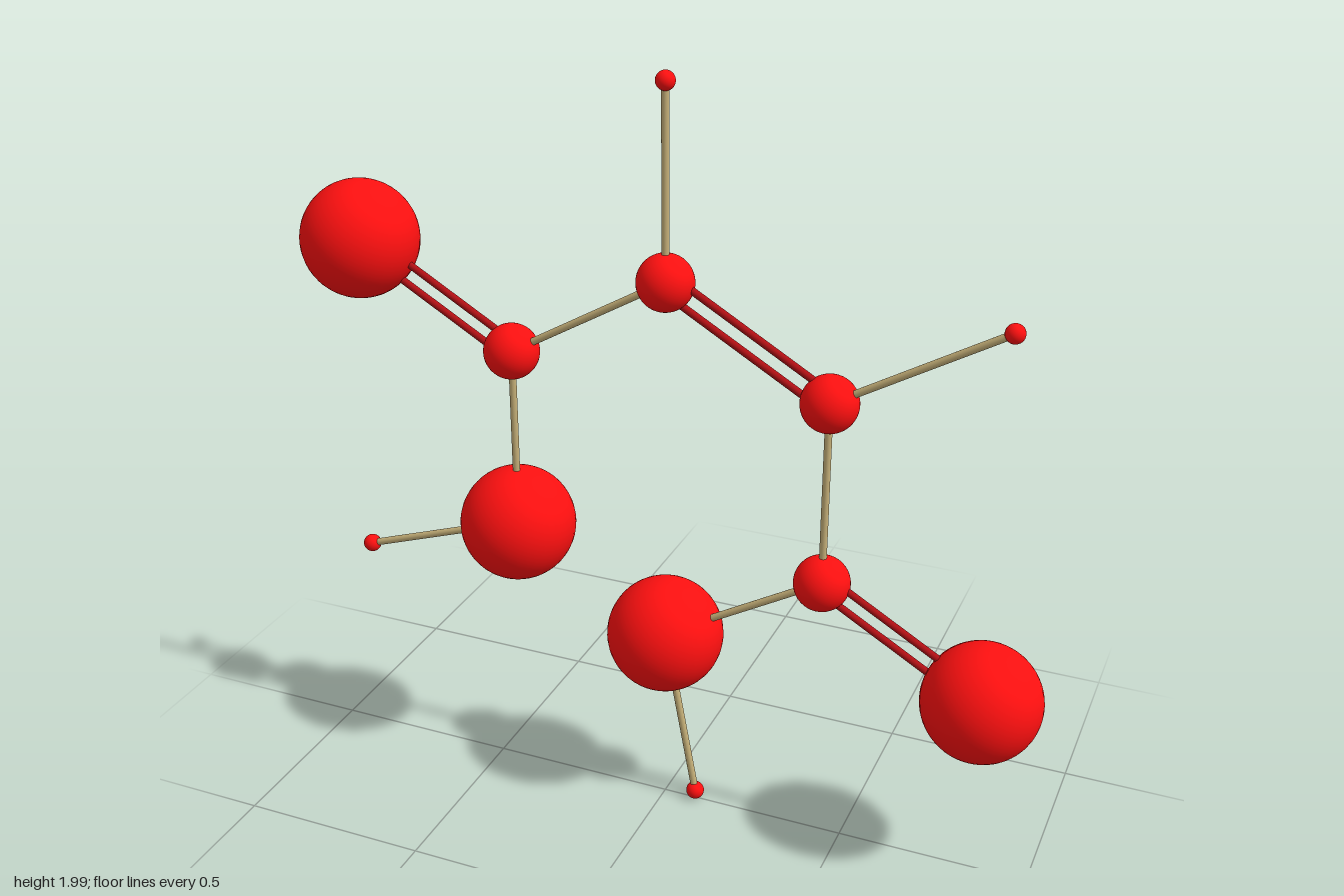
import * as THREE from 'three';

export function createModel() {
  const model = new THREE.Group();
  const atomMat = new THREE.MeshStandardMaterial({ color: 0xff1010 });
  const singleMat = new THREE.MeshStandardMaterial({ color: 0xc8b27a });
  const doubleMat = new THREE.MeshStandardMaterial({ color: 0xb01014 });

  // Ball sizes: big (oxygen), medium (carbon), small (hydrogen)
  const ball = r => new THREE.SphereGeometry(r, 40, 28);
  const balls = { oxygen: ball(0.153), carbon: ball(0.072), hydrogen: ball(0.024) };

  // Atom centres, all in the plane z = 0
  const atoms = [
    ['oxygen', -0.845, 1.48],    // 0
    ['carbon', -0.422, 1.236],   // 1
    ['carbon', 0, 1.48],         // 2
    ['carbon', 0.422, 1.236],    // 3
    ['carbon', 0.422, 0.748],    // 4
    ['oxygen', 0.845, 0.504],    // 5
    ['oxygen', 0, 0.504],        // 6
    ['oxygen', -0.422, 0.748],   // 7
    ['hydrogen', 0, 1.967],      // 8
    ['hydrogen', 0.845, 1.48],   // 9
    ['hydrogen', -0.882, 0.588], // 10
    ['hydrogen', 0.088, 0.025],  // 11
  ].map(([kind, x, y]) => {
    const mesh = new THREE.Mesh(balls[kind], atomMat);
    mesh.name = kind + 'Ball';
    mesh.position.set(x, y, 0);
    model.add(mesh);
    return mesh.position;
  });

  // Rod between two balls, shifted sideways within the plane
  function rod(a, b, shift, material, name) {
    const dir = atoms[b].clone().sub(atoms[a]);
    const length = dir.length();
    dir.normalize();
    const mesh = new THREE.Mesh(new THREE.CylinderGeometry(0.0095, 0.0095, length, 16), material);
    mesh.name = name;
    mesh.position.copy(atoms[a]).lerp(atoms[b], 0.5);
    mesh.position.add(new THREE.Vector3(-dir.y, dir.x, 0).multiplyScalar(shift));
    mesh.quaternion.setFromUnitVectors(new THREE.Vector3(0, 1, 0), dir);
    model.add(mesh);
  }

  // Single bonds
  [[1, 2], [3, 4], [4, 6], [1, 7], [2, 8], [3, 9], [7, 10], [6, 11]]
    .forEach(([a, b]) => rod(a, b, 0, singleMat, 'singleBond'));

  // Double bonds: two parallel rods
  for (const [a, b] of [[0, 1], [2, 3], [4, 5]])
    for (const side of [-1, 1]) rod(a, b, side * 0.025, doubleMat, 'doubleBondRod');

  return model;
}
